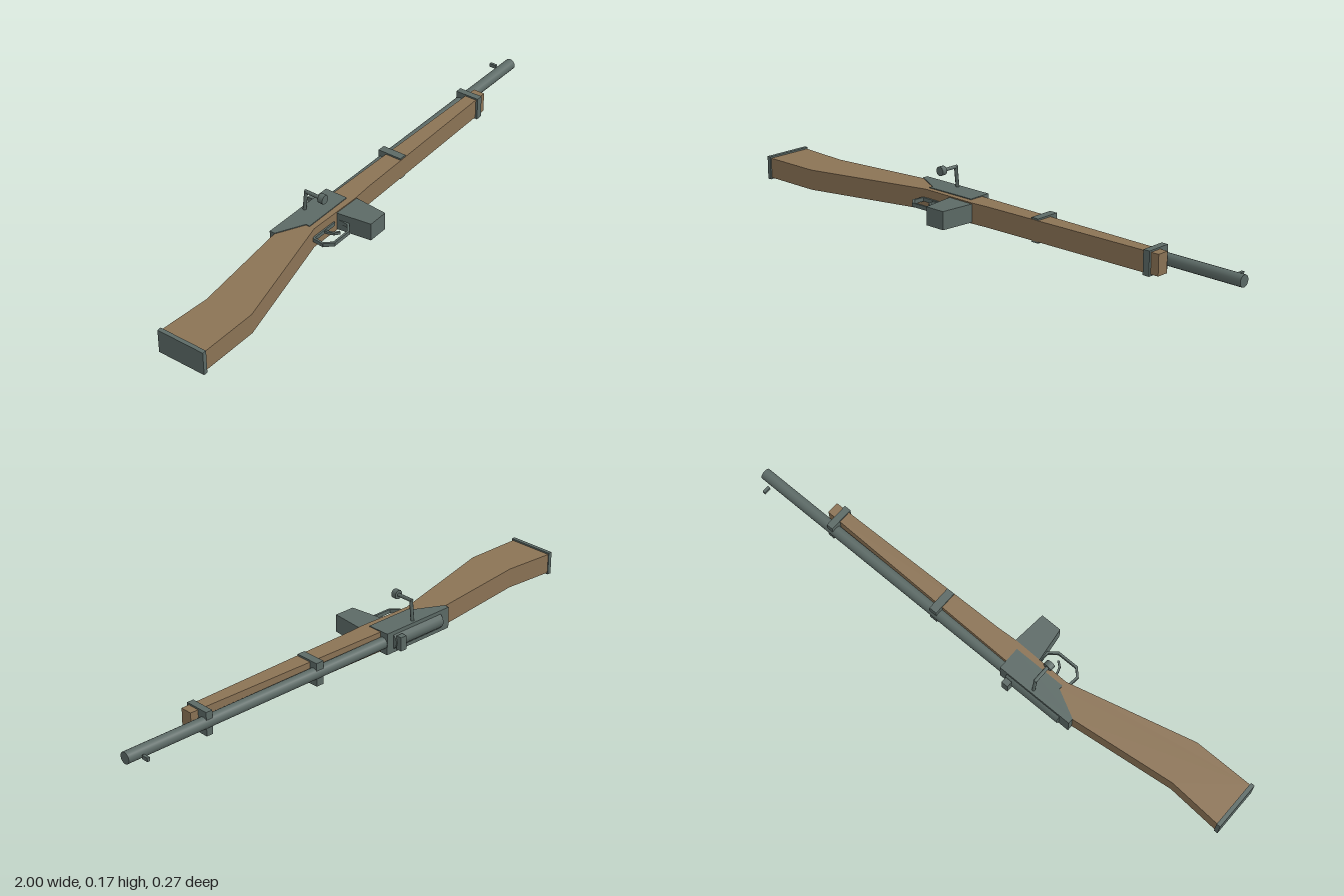
import * as THREE from 'three';

const wood = new THREE.MeshStandardMaterial({ color: 0x8b7355 });
wood.name = 'walnut wood';
const metal = new THREE.MeshStandardMaterial({ color: 0x5c6a66 });
metal.name = 'grey green metal';

const MID = 0.046; // height of the centre plane, the rifle lies on its side

export function createModel() {
  const model = new THREE.Group();
  model.name = 'rifle';

  const add = (name, geometry, material) => {
    const mesh = new THREE.Mesh(geometry, material);
    mesh.name = name;
    model.add(mesh);
    return mesh;
  };
  // Outline given in [x, z], extruded upwards from y0 to y1
  const slab = (name, points, y0, y1, material) => {
    const shape = new THREE.Shape(points.map(([x, z]) => new THREE.Vector2(x, -z)));
    const geometry = new THREE.ExtrudeGeometry(shape, { depth: y1 - y0, bevelEnabled: false });
    geometry.rotateX(-Math.PI / 2).translate(0, y0, 0);
    return add(name, geometry, material);
  };
  const box = (name, x0, x1, y0, y1, z0, z1) => {
    const geometry = new THREE.BoxGeometry(x1 - x0, y1 - y0, z1 - z0);
    geometry.translate((x0 + x1) / 2, (y0 + y1) / 2, (z0 + z1) / 2);
    return add(name, geometry, metal);
  };
  // Round bar between two points
  const bar = (name, a, b, radius, sides) => {
    const from = new THREE.Vector3(...a), to = new THREE.Vector3(...b);
    const dir = to.clone().sub(from);
    const mesh = add(name, new THREE.CylinderGeometry(radius, radius, dir.length(), sides), metal);
    mesh.position.copy(from).add(to).multiplyScalar(0.5);
    mesh.quaternion.setFromUnitVectors(new THREE.Vector3(0, 1, 0), dir.normalize());
    return mesh;
  };

  // Wooden stock with butt plate
  slab('stock', [
    [-0.987, -0.05], [-0.79, -0.037], [-0.4, -0.083], [-0.3, -0.085], [-0.1, -0.07],
    [0.72, -0.056], [0.72, -0.012], [0, 0.003], [-0.08, 0.008], [-0.3, 0.004],
    [-0.765, 0.124], [-0.987, 0.124],
  ], 0.009, 0.083, wood);
  box('buttPlate', -1, -0.985, 0.003, 0.089, -0.053, 0.129);

  // Receiver, barrel and bolt
  slab('receiver', [
    [-0.4, -0.102], [-0.1, -0.102], [-0.1, -0.015], [-0.3, -0.015], [-0.3, -0.03], [-0.4, -0.082],
  ], 0.006, 0.086, metal);
  bar('barrel', [-0.15, MID, -0.081], [1, MID, -0.081], 0.021, 16);
  bar('bolt', [-0.36, MID, -0.086], [-0.13, MID, -0.086], 0.031, 12);

  // Barrel bands
  for (const [x0, x1] of [[0.19, 0.22], [0.665, 0.69]]) {
    box('barrelBand', x0, x1, 0.003, 0.089, -0.096, -0.003);
  }

  // Bolt handle with knob
  bar('boltHandleStem', [-0.235, 0.06, -0.09], [-0.235, 0.163, -0.079], 0.0065, 8);
  bar('boltHandleArm', [-0.235, 0.16, -0.084], [-0.235, 0.16, -0.015], 0.0065, 8);
  bar('boltKnob', [-0.235, 0.16, -0.02], [-0.235, 0.16, 0], 0.017, 10);

  // Sights
  box('rearSight', -0.16, -0.134, 0.02, 0.072, -0.134, -0.112);
  box('frontSight', 0.948, 0.958, 0.039, 0.053, -0.138, -0.112);

  // Magazine
  slab('magazine', [
    [-0.182, 0.004], [-0.074, 0.004], [-0.086, 0.135], [-0.165, 0.135],
  ], 0.013, 0.079, metal);

  // Trigger guard and trigger: flat strips following a path
  const strip = (name, path, width, thick) => {
    for (let i = 0; i < path.length - 1; i++) {
      const [ax, az] = path[i], [bx, bz] = path[i + 1];
      const length = Math.hypot(bx - ax, bz - az);
      const mesh = add(name, new THREE.BoxGeometry(length + thick * 0.6, width, thick), metal);
      mesh.position.set((ax + bx) / 2, MID, (az + bz) / 2);
      mesh.rotation.y = -Math.atan2(bz - az, bx - ax);
    }
  };
  strip('triggerGuard', [
    [-0.2, 0.007], [-0.308, 0.007], [-0.313, 0.05], [-0.288, 0.076], [-0.21, 0.076], [-0.18, 0.052], [-0.177, 0.02],
  ], 0.014, 0.008);
  strip('trigger', [[-0.252, 0], [-0.25, 0.022], [-0.243, 0.041], [-0.228, 0.053]], 0.01, 0.007);

  return model;
}
